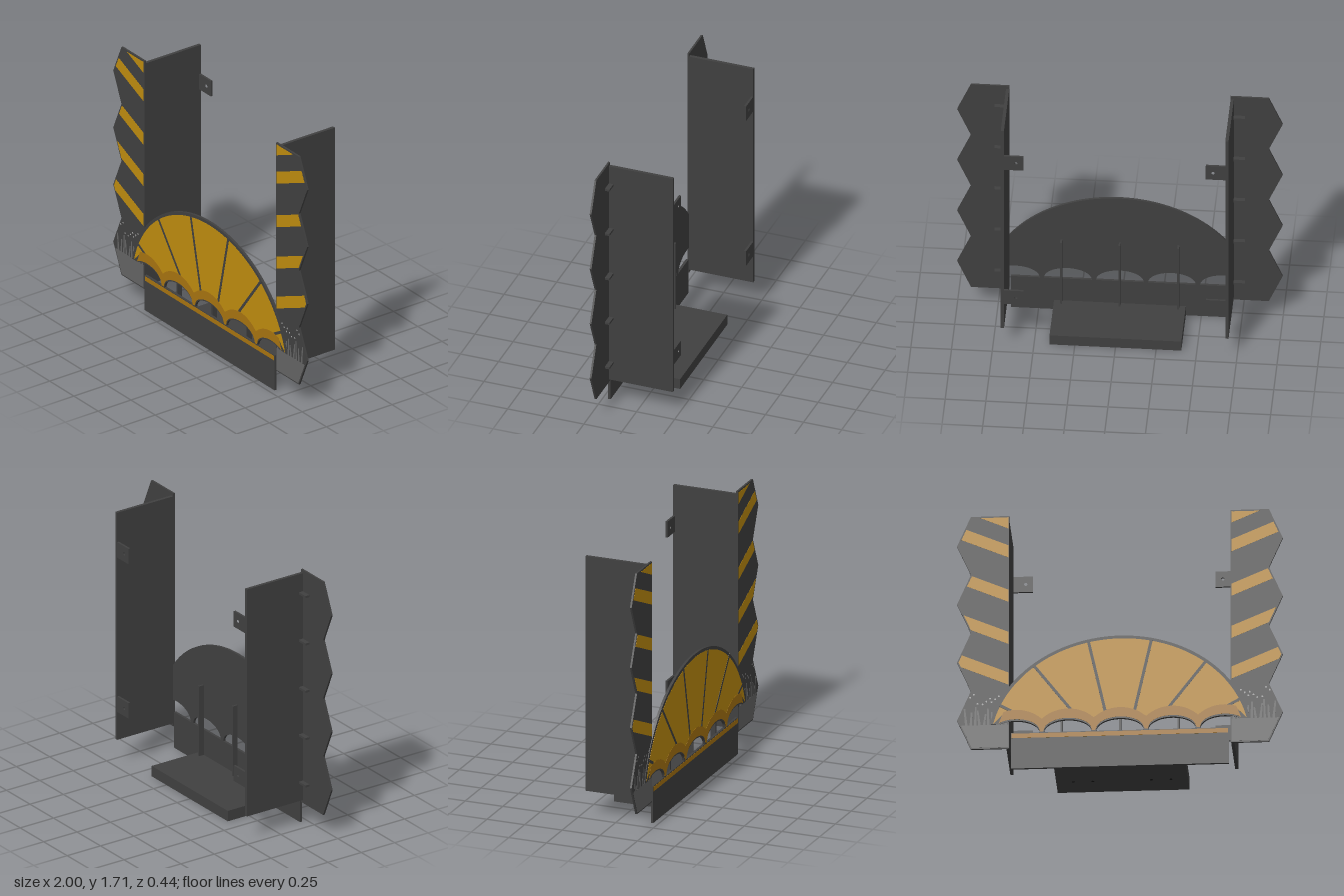
import * as THREE from 'three';

const mat = (color) => new THREE.MeshStandardMaterial({ color });
const V = (x, y) => new THREE.Vector2(x, y);

export function createModel() {
  const root = new THREE.Group();
  const dark = mat(0x404040), yellow = mat(0xbf8c0f), amber = mat(0xa87410);
  const grey = mat(0x646464), pale = mat(0xaaaaaa), black = mat(0x181818);

  const add = (parent, name, geo, material, x = 0, y = 0, z = 0) => {
    const m = new THREE.Mesh(geo, material);
    m.name = name;
    m.position.set(x, y, z);
    parent.add(m);
    return m;
  };
  const box = (parent, name, material, x0, x1, y0, y1, z0, z1) =>
    add(parent, name, new THREE.BoxGeometry(x1 - x0, y1 - y0, z1 - z0), material,
      (x0 + x1) / 2, (y0 + y1) / 2, (z0 + z1) / 2);
  const plate = (parent, name, shape, material, z0, z1) =>
    add(parent, name, new THREE.ExtrudeGeometry(shape, { depth: z1 - z0, bevelEnabled: false, curveSegments: 16 }),
      material, 0, 0, z0);
  // thin painted layer lying on a plate
  const paint = (parent, name, points, material, z) =>
    plate(parent, name, new THREE.Shape(points), material, z - 0.001, z);

  // ---------- zigzag side towers ----------
  const step = 0.196, y0 = 0.14, y1 = 1.71;
  const outerX = (y) => {
    const t = ((y - y0) / step) % 2;
    return 0.915 + 0.085 * (1 - Math.abs(t - 1));
  };
  // where a sloped line starting at the inner edge meets the outer edge
  const slope = 0.426;
  const stripeEnd = (start) => {
    let x = 0.685;
    while (x < outerX(start + slope * (x - 0.68)) - 0.01 && start + slope * (x - 0.68) < 1.7) x += 0.002;
    return V(x, start + slope * (x - 0.68));
  };

  const buildTower = (side) => {
    const g = new THREE.Group();
    g.name = side > 0 ? 'leftTower' : 'rightTower';
    const X = (x) => side * x;
    const mir = (pts) => pts.map((p) => V(X(p.x), p.y));
    const span = (name, a, b, ...rest) =>
      box(g, name, dark, Math.min(X(a), X(b)), Math.max(X(a), X(b)), ...rest);

    const outline = [V(0.68, y0)];
    for (let i = 0; i <= 8; i++) outline.push(V(i % 2 ? 1 : 0.915, y0 + (i * (y1 - y0)) / 8));
    outline.push(V(0.68, y1));
    plate(g, 'towerFront', new THREE.Shape(mir(outline)), dark, 0.2, 0.212);
    span('towerSide', 0.68, 0.70, 0.16, 1.69, -0.22, 0.2);

    // diagonal stripes, trimmed to the zigzag edge
    for (const [a, b] of [[0.57, 0.652], [0.845, 0.927], [1.13, 1.212], [1.43, 1.512], [1.625, 1.7]]) {
      const pts = [V(0.685, b), V(0.685, a)];
      for (let i = 0; i <= 12; i++) pts.push(stripeEnd(a + ((b - a) * i) / 12));
      paint(g, 'stripe', mir(pts), yellow, 0.2135);
    }

    // grass strip, blades and flecks
    paint(g, 'grassBase', mir([V(0.685, 0.148), V(0.91, 0.148), V(0.976, 0.30), V(0.685, 0.30)]), grey, 0.2135);
    for (let i = 0; i < 10; i++) {
      const x = 0.70 + i * 0.027, h = 0.075 + 0.05 * ((i * 7) % 5) / 4, lean = 0.012 * Math.sin(i * 2.3);
      paint(g, 'grassBlade', mir([V(x - 0.008, 0.295), V(x + 0.008, 0.295),
        V(x + lean + 0.005, 0.30 + h), V(x + lean - 0.005, 0.30 + h)]), grey, 0.2135);
    }
    for (let i = 0; i < 10; i++) {
      add(g, 'fleck', new THREE.CircleGeometry(0.006, 8), pale,
        X(0.72 + ((i * 37) % 100) / 480), 0.43 + ((i * 53) % 90) / 1100, 0.2137);
    }

    // clips behind the front plate
    for (let i = 0; i < 5; i++) {
      const y = 0.285 + i * 0.319;
      span('clip', 0.70, 0.77, y - 0.007, y + 0.007, 0.17, 0.2);
    }
    // drilled fixing tabs at the back
    for (const y of [0.40, 1.44]) {
      const tab = new THREE.Shape(mir([V(0.56, y - 0.052), V(0.69, y - 0.052), V(0.69, y + 0.052), V(0.56, y + 0.052)]));
      tab.holes.push(new THREE.Path().absarc(X(0.605), y, 0.01, 0, Math.PI * 2, true));
      plate(g, 'fixingTab', tab, dark, -0.22, -0.206);
    }
    root.add(g);
  };
  buildTower(1);
  buildTower(-1);

  // ---------- fan-shaped arch ----------
  const arch = new THREE.Group();
  arch.name = 'arch';
  root.add(arch);
  const pitch = 0.32, half = 0.147;
  const local = (x) => x - pitch * Math.max(-2, Math.min(2, Math.round(x / pitch)));
  const windowTop = (x) => {
    const u = local(x) / half;
    return Math.abs(u) < 1 ? 0.24 + 0.082 * Math.sqrt(1 - u * u) : 0.235;
  };
  const scallopTop = (x) => 0.166 + Math.sqrt(0.0524 - local(x) ** 2);
  // sampled curve from xa to xb
  const trace = (f, xa, xb, n) =>
    Array.from({ length: n + 1 }, (_, i) => {
      const x = xa + ((xb - xa) * i) / n;
      return V(x, f(x));
    });
  // dome curve from right to left, shrunk by an inset
  const dome = (inset, low) => {
    const a = 0.817 - inset, b = 0.73 - inset, s = Math.asin((low - 0.15) / b);
    return Array.from({ length: 65 }, (_, i) => {
      const t = s + ((Math.PI - 2 * s) * i) / 64;
      return V(a * Math.cos(t), 0.15 + b * Math.sin(t));
    });
  };

  plate(arch, 'archPanel', new THREE.Shape([...dome(0, 0.30), ...trace(windowTop, -0.737, 0.737, 268)]),
    dark, 0.2, 0.216);
  paint(arch, 'fanFace', [...dome(0.02, 0.305), ...trace((x) => scallopTop(x) - 0.015, -0.72, 0.72, 120)],
    yellow, 0.2175);
  paint(arch, 'scallopBand', [V(0.745, 0.305), ...trace(scallopTop, 0.715, -0.715, 140), V(-0.745, 0.305),
    ...trace((x) => windowTop(x) + 0.01, -0.73, 0.73, 220)], amber, 0.219);

  // dark ribs dividing the fan
  for (const s of [-1, 1]) {
    for (const [xa, ya, xb, yb] of [[0.09, 0.37, 0.195, 0.852], [0.295, 0.38, 0.535, 0.70], [0.60, 0.35, 0.738, 0.43]]) {
      const d = V(xb - xa, yb - ya).normalize().multiplyScalar(0.009);
      paint(arch, 'fanRib', [V(s * (xa - d.y), ya + d.x), V(s * (xa + d.y), ya - d.x),
        V(s * (xb + d.y), yb - d.x), V(s * (xb - d.y), yb + d.x)], dark, 0.2185);
    }
  }

  // ---------- base ----------
  const base = new THREE.Group();
  base.name = 'base';
  root.add(base);
  box(base, 'frontPanel', dark, -0.67, 0.67, 0, 0.24, 0.2, 0.216);
  box(base, 'frontBand', amber, -0.665, 0.665, 0.205, 0.235, 0.2155, 0.2175);
  box(base, 'floor', dark, -0.405, 0.405, 0, 0.07, -0.155, 0.2);
  for (const x of [-0.36, 0, 0.36]) box(base, 'brace', dark, x - 0.006, x + 0.006, 0.07, 0.54, 0.165, 0.2);
  for (const x of [-0.3, -0.18, 0.18, 0.3]) {
    add(base, 'screwHole', new THREE.CircleGeometry(0.01, 12), black, x, -0.0005, 0).rotation.x = Math.PI / 2;
  }
  return root;
}
